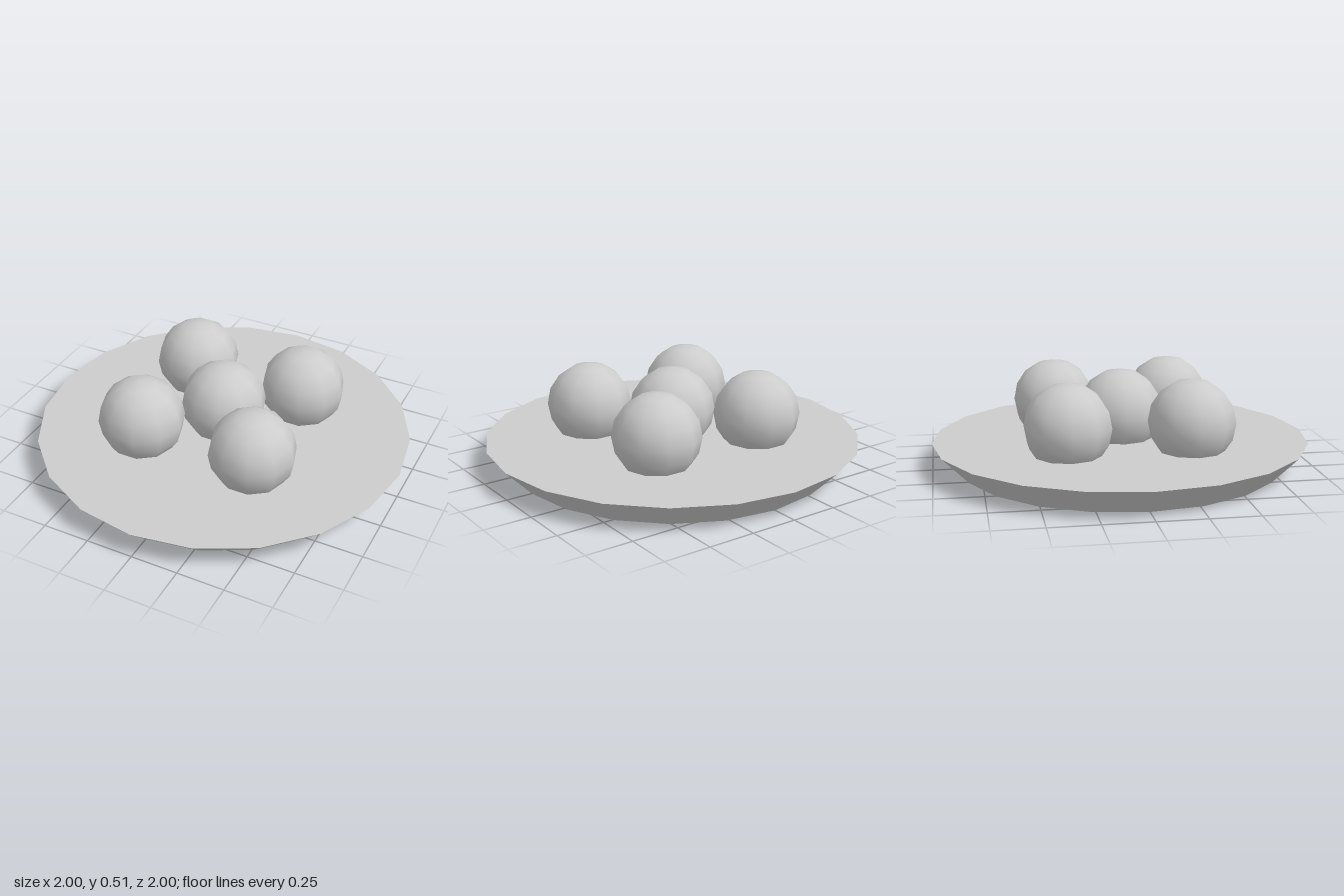
import * as THREE from 'three';

export function createModel() {
  const model = new THREE.Group();
  const grey = new THREE.MeshStandardMaterial({ color: 0xcccccc });
  grey.name = 'light grey';
  const plateHeight = 0.142;

  // shallow faceted dish, flared towards the top
  const dishGeometry = new THREE.CylinderGeometry(1, 0.86, plateHeight, 20).toNonIndexed();
  dishGeometry.computeVertexNormals();
  const dish = new THREE.Mesh(dishGeometry, grey);
  dish.name = 'dish';
  dish.position.y = plateHeight / 2;
  model.add(dish);

  // five balls sunk slightly into the dish: one in the middle, four around it
  const balls = new THREE.Group();
  balls.name = 'balls';
  const ballGeometry = new THREE.SphereGeometry(0.228, 10, 8);
  const offset = 0.32;
  for (const [x, z] of [[0, 0], [-1, -1], [1, -1], [-1, 1], [1, 1]]) {
    const ball = new THREE.Mesh(ballGeometry, grey);
    ball.name = x === 0 ? 'centreBall' : 'outerBall';
    ball.position.set(x * offset, 0.285, z * offset);
    balls.add(ball);
  }
  model.add(balls);

  return model;
}
